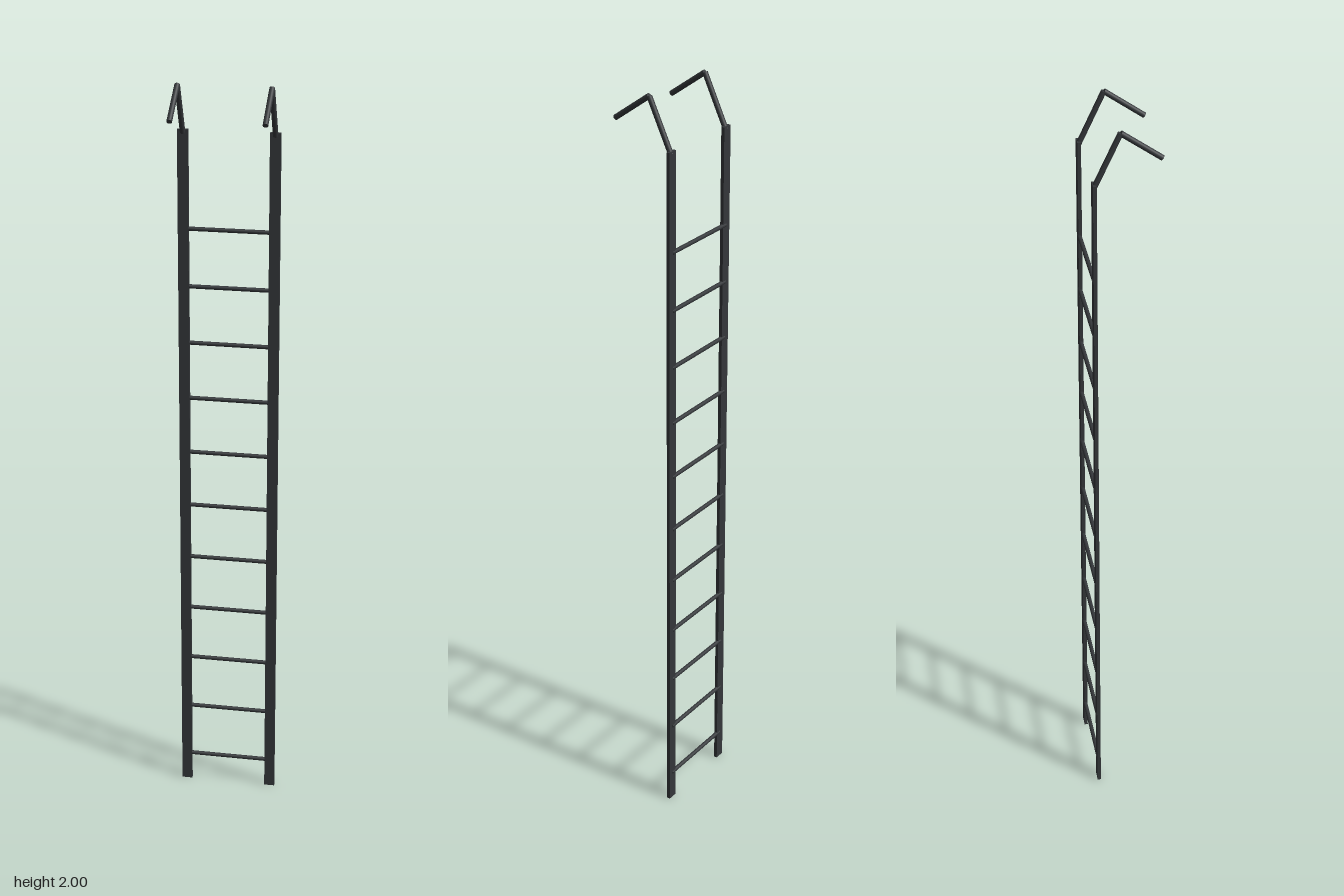
import * as THREE from 'three';

const metal = new THREE.MeshStandardMaterial({ color: 0x34373a });
const UP = new THREE.Vector3(0, 1, 0);

// Round bar between two points
function bar(name, a, b, radius) {
  const dir = b.clone().sub(a);
  const mesh = new THREE.Mesh(new THREE.CylinderGeometry(radius, radius, dir.length(), 20), metal);
  mesh.name = name;
  mesh.position.copy(a).add(b).multiplyScalar(0.5);
  mesh.quaternion.setFromUnitVectors(UP, dir.normalize());
  return mesh;
}

export function createModel() {
  const ladder = new THREE.Group();
  ladder.name = 'hookLadder';
  const railX = 0.118, railZ = -0.081, railHeight = 1.87;

  for (const [side, s] of [['left', 1], ['right', -1]]) {
    const x = s * railX;

    // Flat side rail
    const rail = new THREE.Mesh(new THREE.BoxGeometry(0.028, railHeight, 0.009), metal);
    rail.name = side + 'Rail';
    rail.position.set(x, railHeight / 2, railZ);
    ladder.add(rail);

    // Bent hook that leans forward, then drops down
    const hook = new THREE.Group();
    hook.name = side + 'Hook';
    const foot = new THREE.Vector3(x, 1.862, -0.08);
    const peak = new THREE.Vector3(x, 1.994, -0.018);
    const tip = new THREE.Vector3(x, 1.924, 0.081);
    hook.add(bar('hookRiser', foot, peak, 0.007), bar('hookTip', peak, tip, 0.007));
    ladder.add(hook);
  }

  // Evenly spaced round rungs
  for (let i = 0; i < 11; i++) {
    const y = 0.08 + i * 0.1533;
    ladder.add(bar('rung', new THREE.Vector3(-railX, y, railZ - 0.001),
      new THREE.Vector3(railX, y, railZ - 0.001), 0.0055));
  }
  return ladder;
}
